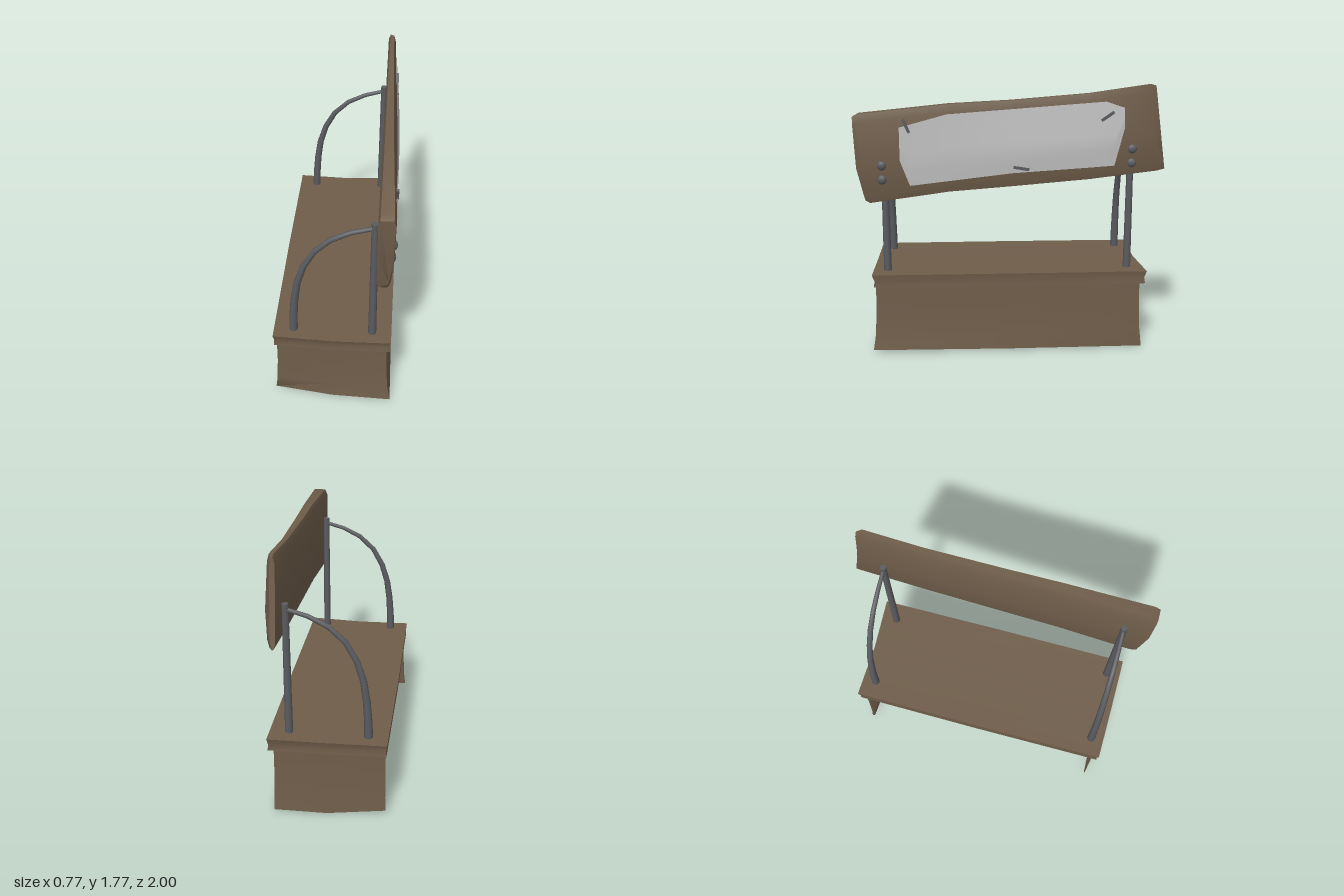
import * as THREE from 'three';
import { toCreasedNormals } from 'three/addons/utils/BufferGeometryUtils.js';

const wood = new THREE.MeshStandardMaterial({ color: 0x6f5d4a });
wood.name = 'wood';
const metal = new THREE.MeshStandardMaterial({ color: 0x5a5c60 });
metal.name = 'metal';
const paper = new THREE.MeshStandardMaterial({ color: 0xbfbfbf, side: THREE.DoubleSide });
paper.name = 'paper';

// Skin over rings of points; each ring runs counter-clockwise seen from the far end
function loft(rings, flatten, crease) {
  const n = rings[0].length, index = [];
  for (let i = 0; i < rings.length - 1; i++) {
    for (let j = 0; j < n; j++) {
      const a = i * n + j, b = i * n + (j + 1) % n;
      index.push(a, b, b + n, a, b + n, a + n);
    }
  }
  const cap = (ring, start, flip) => {
    const outline = ring.map(p => new THREE.Vector2(...flatten(p)));
    for (const [a, b, c] of THREE.ShapeUtils.triangulateShape(outline, [])) {
      index.push(start + a, start + (flip ? c : b), start + (flip ? b : c));
    }
  };
  cap(rings[0], 0, true);
  cap(rings[rings.length - 1], (rings.length - 1) * n, false);
  const g = new THREE.BufferGeometry();
  g.setAttribute('position', new THREE.Float32BufferAttribute(rings.flat(2), 3));
  g.setIndex(index);
  return toCreasedNormals(g, crease);
}

// Linear interpolation through [key, ...values] rows sorted by key
function sample(rows, k) {
  let i = 0;
  while (i < rows.length - 2 && k > rows[i + 1][0]) i++;
  const a = rows[i], b = rows[i + 1];
  const t = THREE.MathUtils.clamp((k - a[0]) / (b[0] - a[0]), 0, 1);
  return a.map((v, c) => v + (b[c] - v) * t);
}

// Sign sections: middle z, bottom z, top z, bottom y, top y, front x at bottom, middle, top
const signKeys = [
  [-0.952, -1.0, -0.925, 1.225, 1.765, 0.298, 0.3, 0.3],
  [-0.915, -0.945, -0.89, 1.218, 1.775, 0.325, 0.335, 0.318],
  [-0.5, -0.5, -0.5, 1.17, 1.72, 0.345, 0.355, 0.325],
  [0, 0, 0, 1.13, 1.68, 0.352, 0.366, 0.34],
  [0.4, 0.4, 0.4, 1.1, 1.66, 0.354, 0.364, 0.35],
  [0.95, 0.91, 0.965, 1.03, 1.603, 0.352, 0.366, 0.37],
  [0.992, 0.94, 1.0, 1.045, 1.585, 0.34, 0.362, 0.368],
];

// Front surface of the sign at a given z and y
function signFront(z, y) {
  const [, , , yb, yt, xb, xm, xt] = sample(signKeys, z);
  return sample([[0.08, xb], [0.4, xm], [0.92, xt]], (y - yb) / (yt - yb))[1];
}

function signGeometry() {
  const rings = signKeys.map(([zm, zb, zt, yb, yt, xb, xm, xt]) =>
    [[0.28, 0], [xb - 0.012, 0], [xb, 0.08], [xm, 0.4], [xt, 0.92],
      [xt - 0.012, 1], [0.28, 1], [0.268, 0.94], [0.268, 0.5], [0.268, 0.06]]
      .map(([x, v]) => [x, yb + (yt - yb) * v, sample([[0, zb], [0.45, zm], [1, zt]], v)[1]]));
  return loft(rings, p => [p[0], p[1]], 0.9);
}

// Paper sheet following the front of the sign
function sheetGeometry() {
  const zs = [0.71, 0.65, 0.41, 0.2, 0, -0.25, -0.5, -0.6, -0.66, -0.72];
  const low = [[-0.72, 1.5], [-0.66, 1.26], [0, 1.22], [0.65, 1.145], [0.71, 1.31]];
  const high = [[-0.72, 1.63], [-0.6, 1.67], [0.41, 1.6], [0.71, 1.52]];
  const g = new THREE.PlaneGeometry(1, 1, zs.length - 1, 8);
  const p = g.attributes.position;
  for (let i = 0; i < p.count; i++) {
    const z = zs[i % zs.length];
    const y = THREE.MathUtils.lerp(sample(low, z)[1], sample(high, z)[1], p.getY(i) + 0.5);
    p.setXYZ(i, signFront(z, y) + 0.009, y, z);
  }
  g.computeVertexNormals();
  return g;
}

// Bent rod that narrows towards its far end
function rodGeometry(points, r0, r1, segments) {
  const curve = new THREE.CatmullRomCurve3(points.map(p => new THREE.Vector3(...p)));
  const g = new THREE.TubeGeometry(curve, segments, r0, 8);
  const p = g.attributes.position, v = new THREE.Vector3();
  for (let i = 0; i < p.count; i++) {
    const t = Math.floor(i / 9) / segments, c = curve.getPointAt(t);
    v.fromBufferAttribute(p, i).sub(c).multiplyScalar(THREE.MathUtils.lerp(1, r1 / r0, t)).add(c);
    p.setXYZ(i, v.x, v.y, v.z);
  }
  return g;
}

export function createModel() {
  const model = new THREE.Group();
  const add = (name, geometry, material) => {
    const m = new THREE.Mesh(geometry, material);
    m.name = name;
    model.add(m);
    return m;
  };
  const flatXZ = p => [p[2], p[0]];

  // Counter walls: a U in plan, open at the -x side, thicker and flared at the foot
  // each row: top z, top x, foot z, foot x, foot height
  const wallPlan = [
    [-0.81, -0.36, -0.815, -0.37, 0.035], [-0.825, 0.28, -0.79, 0.2, 0.01],
    [0.87, 0.28, 0.84, 0.2, 0.01], [0.852, -0.355, 0.852, -0.375, 0.035],
    [0.862, -0.36, 0.86, -0.382, 0.035], [0.885, 0, 0.908, 0, 0.03],
    [0.893, 0.345, 0.92, 0.378, 0.03], [0, 0.347, 0, 0.37, 0.02],
    [-0.855, 0.335, -0.88, 0.34, 0.01], [-0.845, 0, -0.868, 0, 0.005],
    [-0.82, -0.367, -0.832, -0.375, 0.035]];
  const walls = [[0, 1], [0.13, 0.45], [0.3, 0.08], [0.48, 0]].map(([h, flare]) =>
    wallPlan.map(([z, x, fz, fx, fy]) => [x + (fx - x) * flare, h || fy, z + (fz - z) * flare]));
  add('counterWalls', loft(walls, flatXZ, 1.3), wood);

  // Counter top: slightly sagging slab with pinched edges
  const topPlan = [[-0.875, -0.378], [0, -0.382], [0.905, -0.378], [0.912, 0],
    [0.915, 0.37], [0, 0.373], [-0.895, 0.37], [-0.872, 0]];
  const slab = [[0.465, 0.99], [0.505, 0.983], [0.55, 1]].map(([y, s]) =>
    topPlan.map(([z, x]) => [x * s, y - (x === 0 ? 0.01 : 0), z * s]));
  add('counterTop', loft(slab, flatXZ, 1.3), wood);

  // Sign board and sheet
  add('signBoard', signGeometry(), wood);
  add('paperSheet', sheetGeometry(), paper);

  // Posts, curved braces and bolts at both ends
  for (const [z, boltY] of [[0.82, 1.185], [-0.78, 1.275]]) {
    const post = add('post', new THREE.CylinderGeometry(0.021, 0.026, 0.9, 8, 2), metal);
    post.position.set(0.248, 0.975, z);
    add('brace', rodGeometry([[-0.255, 0.52, z], [-0.245, 0.75, z], [-0.212, 0.97, z], [-0.155, 1.12, z],
      [-0.075, 1.235, z], [0.06, 1.33, z], [0.25, 1.39, z]], 0.028, 0.013, 8), metal);
    for (const y of [boltY, boltY + 0.092]) {
      const bz = z + 0.006;
      const bolt = add('bolt', new THREE.SphereGeometry(0.03, 10, 8), metal);
      bolt.scale.x = 0.6;
      bolt.position.set(signFront(bz, y), y, bz);
    }
  }

  // Nails pinning the sheet: z, y of both ends
  for (const [z0, y0, z1, y1] of [[0.685, 1.57, 0.647, 1.487], [-0.57, 1.55, -0.65, 1.605], [-0.01, 1.26, -0.11, 1.243]]) {
    const nail = add('nail', new THREE.BoxGeometry(0.02, 0.018, Math.hypot(z1 - z0, y1 - y0)), metal);
    const z = (z0 + z1) / 2, y = (y0 + y1) / 2;
    nail.position.set(signFront(z, y) + 0.007, y, z);
    nail.rotation.x = -Math.atan2(y1 - y0, z1 - z0);
  }
  return model;
}
